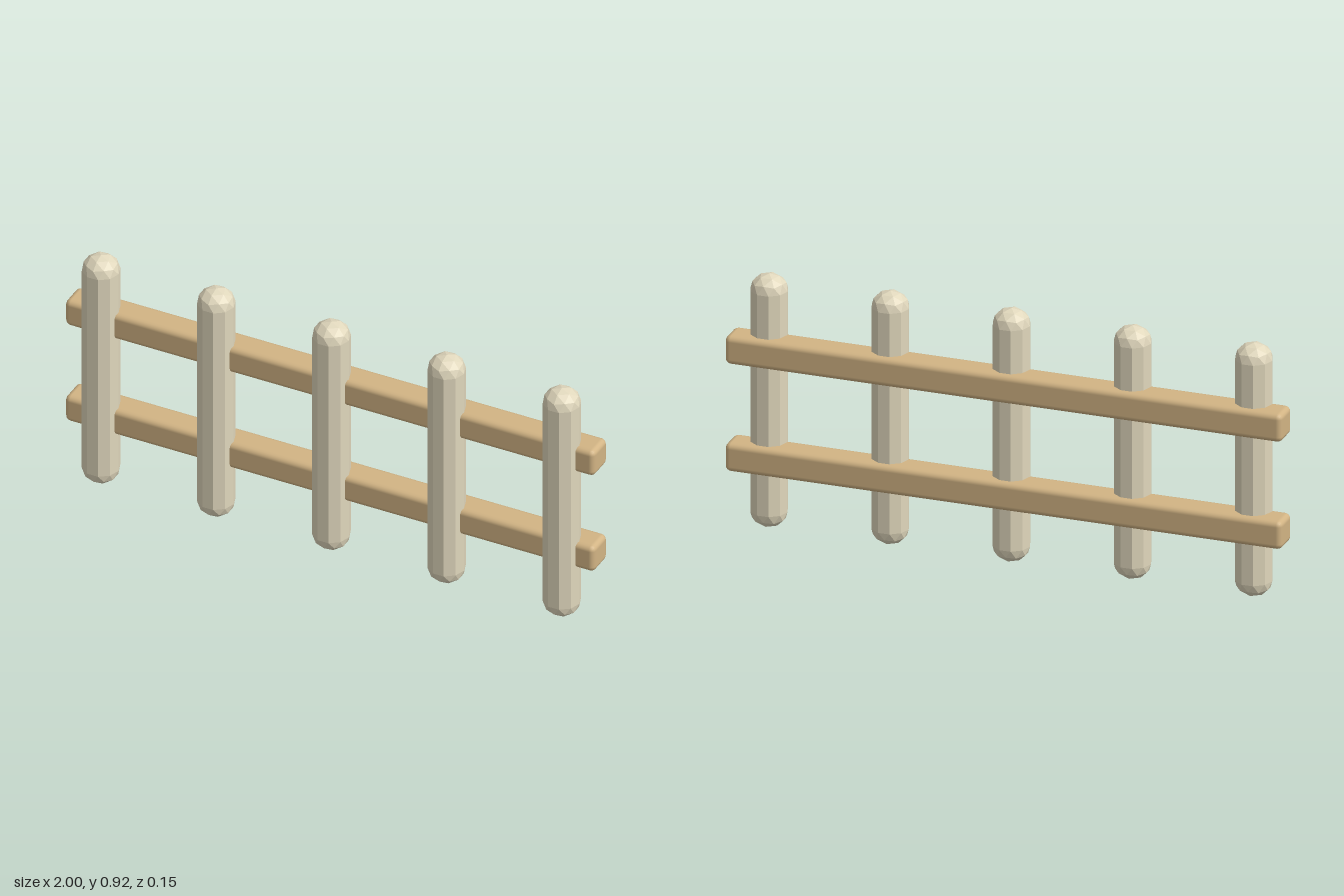
import * as THREE from 'three';
import { RoundedBoxGeometry } from 'three/addons/geometries/RoundedBoxGeometry.js';
import { mergeGeometries } from 'three/addons/utils/BufferGeometryUtils.js';

const RADIUS = 0.066, HEIGHT = 0.922, CAP = 0.058;

// Ten-sided post closed at both ends by the halves of a faceted ball
function postGeometry() {
  const half = HEIGHT / 2 - CAP;
  const caps = new THREE.IcosahedronGeometry(1, 1);
  caps.rotateX(-Math.atan((1 + Math.sqrt(5)) / 2)); // stand the ball on a corner
  const p = caps.attributes.position;
  for (let i = 0; i < p.count; i += 3) {
    const side = Math.sign(p.getY(i) + p.getY(i + 1) + p.getY(i + 2));
    for (let j = i; j < i + 3; j++) {
      p.setXYZ(j, p.getX(j) * RADIUS, p.getY(j) * CAP + side * half, p.getZ(j) * RADIUS);
    }
  }
  const shaft = new THREE.CylinderGeometry(RADIUS, RADIUS, half * 2, 10, 1, true, Math.PI / 10).toNonIndexed();
  const merged = mergeGeometries([caps, shaft]);
  merged.computeVertexNormals();
  return merged;
}

export function createModel() {
  const fence = new THREE.Group();
  fence.name = 'fence';
  const postWood = new THREE.MeshStandardMaterial({ color: 0xe0d7bc, flatShading: true });
  const railWood = new THREE.MeshStandardMaterial({ color: 0xd2b484 });

  // Five upright posts
  const post = postGeometry();
  for (let i = -2; i <= 2; i++) {
    const mesh = new THREE.Mesh(post, postWood);
    mesh.name = `post${i + 3}`;
    mesh.position.set(i * 0.435, HEIGHT / 2, 0.013);
    fence.add(mesh);
  }

  // Two rails let into the back of the posts
  const rail = new RoundedBoxGeometry(2, 0.103, 0.105, 2, 0.02);
  for (const [name, y] of [['lowerRail', 0.263], ['upperRail', 0.655]]) {
    const mesh = new THREE.Mesh(rail, railWood);
    mesh.name = name;
    mesh.position.set(0, y, -0.021);
    fence.add(mesh);
  }
  return fence;
}
